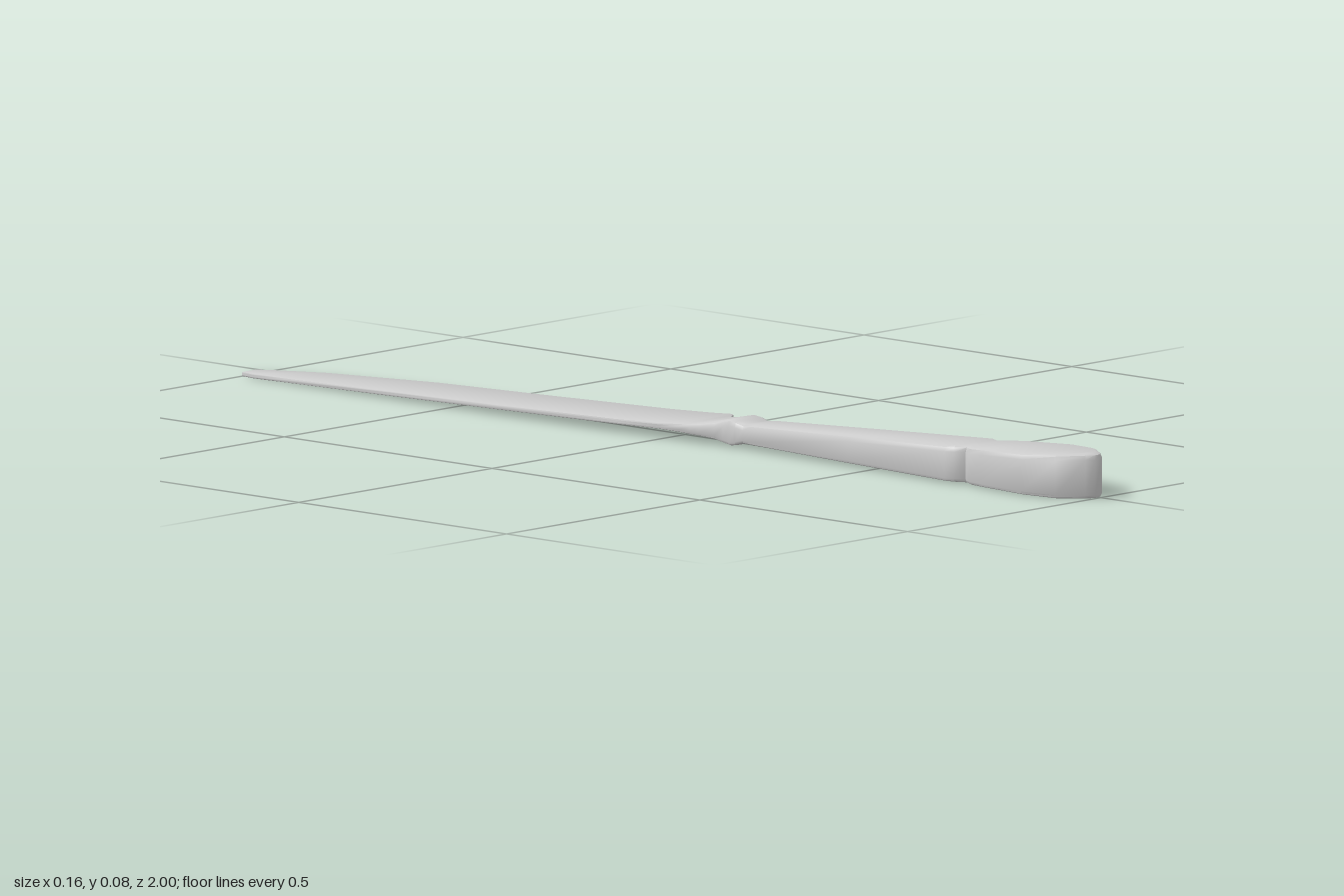
import * as THREE from 'three';
import { toCreasedNormals } from 'three/addons/utils/BufferGeometryUtils.js';

// Stations from blade tip to handle end: [z, left x, right x, bottom y, top y]
const stations = [
  [-1.0, -0.072, -0.037, 0.003, 0.011],
  [-0.97, -0.078, -0.024, 0.003, 0.012],
  [-0.875, -0.079, 0.015, 0.005, 0.013],
  [-0.64, -0.079, 0.049, 0.009, 0.018],
  [-0.38, -0.078, 0.060, 0.014, 0.023],
  [-0.1, -0.073, 0.073, 0.019, 0.029],
  [0.0, -0.069, 0.077, 0.021, 0.033],
  [0.045, -0.067, 0.077, 0.020, 0.036],
  [0.07, -0.065, 0.045, 0.018, 0.038],
  [0.09, -0.062, 0.034, 0.017, 0.041],
  [0.12, -0.055, 0.026, 0.014, 0.046],
  [0.14, -0.053, 0.023, 0.009, 0.051],
  [0.155, -0.054, 0.023, 0.007, 0.054],
  [0.17, -0.055, 0.024, 0.009, 0.052],
  [0.185, -0.051, 0.021, 0.013, 0.047],
  [0.205, -0.054, 0.024, 0.013, 0.049],
  [0.45, -0.063, 0.035, 0.009, 0.060],
  [0.69, -0.072, 0.048, 0.006, 0.070],
  [0.71, -0.068, 0.046, 0.006, 0.071],
  [0.725, -0.054, 0.038, 0.005, 0.071],
  [0.745, -0.067, 0.049, 0.005, 0.072],
  [0.78, -0.072, 0.056, 0.005, 0.074],
  [0.88, -0.078, 0.065, 0.004, 0.078],
  [0.95, -0.064, 0.047, 0.003, 0.081],
  [0.99, -0.029, 0.014, 0.003, 0.083],
  [1.0, -0.015, 0.001, 0.003, 0.083],
];

// Rounded rims: [inset, height] as fractions of the rim size, from the flat face outwards
const rim = [[1, 0], [0.3, 0.3], [0, 1]];

function bodyGeometry() {
  const n = stations.length;
  const outline = [
    ...stations.map(([z, l, , b, t]) => ({ x: l, z, b, t })),
    ...stations.map(([z, , r, b, t]) => ({ x: r, z, b, t })).reverse(),
  ];
  const count = outline.length;

  // Outward direction at every outline point
  const edgeNormal = (p, q) => new THREE.Vector2(p.z - q.z, q.x - p.x).normalize();
  outline.forEach((p, i) => {
    const prev = outline[(i + count - 1) % count], next = outline[(i + 1) % count];
    p.out = edgeNormal(prev, p).add(edgeNormal(p, next)).normalize();
  });

  // Outline rings stacked from the underside to the top face
  const position = [], index = [];
  const ring = (inset, height) => outline.forEach((p) => {
    const d = inset(p);
    position.push(p.x - p.out.x * d, height(p), p.z - p.out.y * d);
  });
  const low = (p) => Math.min(0.006, (p.t - p.b) * 0.3);
  const high = (p) => Math.min(0.011, (p.t - p.b) * 0.3);
  rim.forEach(([i, h]) => ring((p) => low(p) * i, (p) => p.b + low(p) * h));
  [...rim].reverse().forEach(([i, h]) => ring((p) => high(p) * i, (p) => p.t - high(p) * h));

  const quad = (a, b, c, d) => index.push(a, b, c, a, c, d);
  const layers = rim.length * 2;
  for (let k = 0; k < layers - 1; k++) {
    for (let i = 0; i < count; i++) {
      const j = (i + 1) % count;
      quad(k * count + i, k * count + j, (k + 1) * count + j, (k + 1) * count + i);
    }
  }
  // Top and bottom faces
  const top = (layers - 1) * count;
  for (let i = 0; i < n - 1; i++) {
    const l0 = i, l1 = i + 1, r0 = count - 1 - i, r1 = count - 2 - i;
    quad(top + l0, top + l1, top + r1, top + r0);
    quad(l0, r0, r1, l1);
  }

  const geometry = new THREE.BufferGeometry();
  geometry.setAttribute('position', new THREE.Float32BufferAttribute(position, 3));
  geometry.setIndex(index);
  return toCreasedNormals(geometry, 0.75);
}

// Keeps the triangles whose centre lies between two z values
function slice(source, zMin, zMax) {
  const p = source.attributes.position, nrm = source.attributes.normal;
  const position = [], normal = [];
  for (let i = 0; i < p.count; i += 3) {
    const z = (p.getZ(i) + p.getZ(i + 1) + p.getZ(i + 2)) / 3;
    if (z < zMin || z >= zMax) continue;
    for (let j = i; j < i + 3; j++) {
      position.push(p.getX(j), p.getY(j), p.getZ(j));
      normal.push(nrm.getX(j), nrm.getY(j), nrm.getZ(j));
    }
  }
  const geometry = new THREE.BufferGeometry();
  geometry.setAttribute('position', new THREE.Float32BufferAttribute(position, 3));
  geometry.setAttribute('normal', new THREE.Float32BufferAttribute(normal, 3));
  return geometry;
}

export function createModel() {
  const group = new THREE.Group();
  group.name = 'tableKnife';
  const material = new THREE.MeshStandardMaterial({ color: 0xcccccc });
  const body = bodyGeometry();
  const parts = [['blade', -2, 0.08], ['collar', 0.08, 0.195], ['handle', 0.195, 2]];
  for (const [name, zMin, zMax] of parts) {
    const mesh = new THREE.Mesh(slice(body, zMin, zMax), material);
    mesh.name = name;
    group.add(mesh);
  }
  return group;
}
